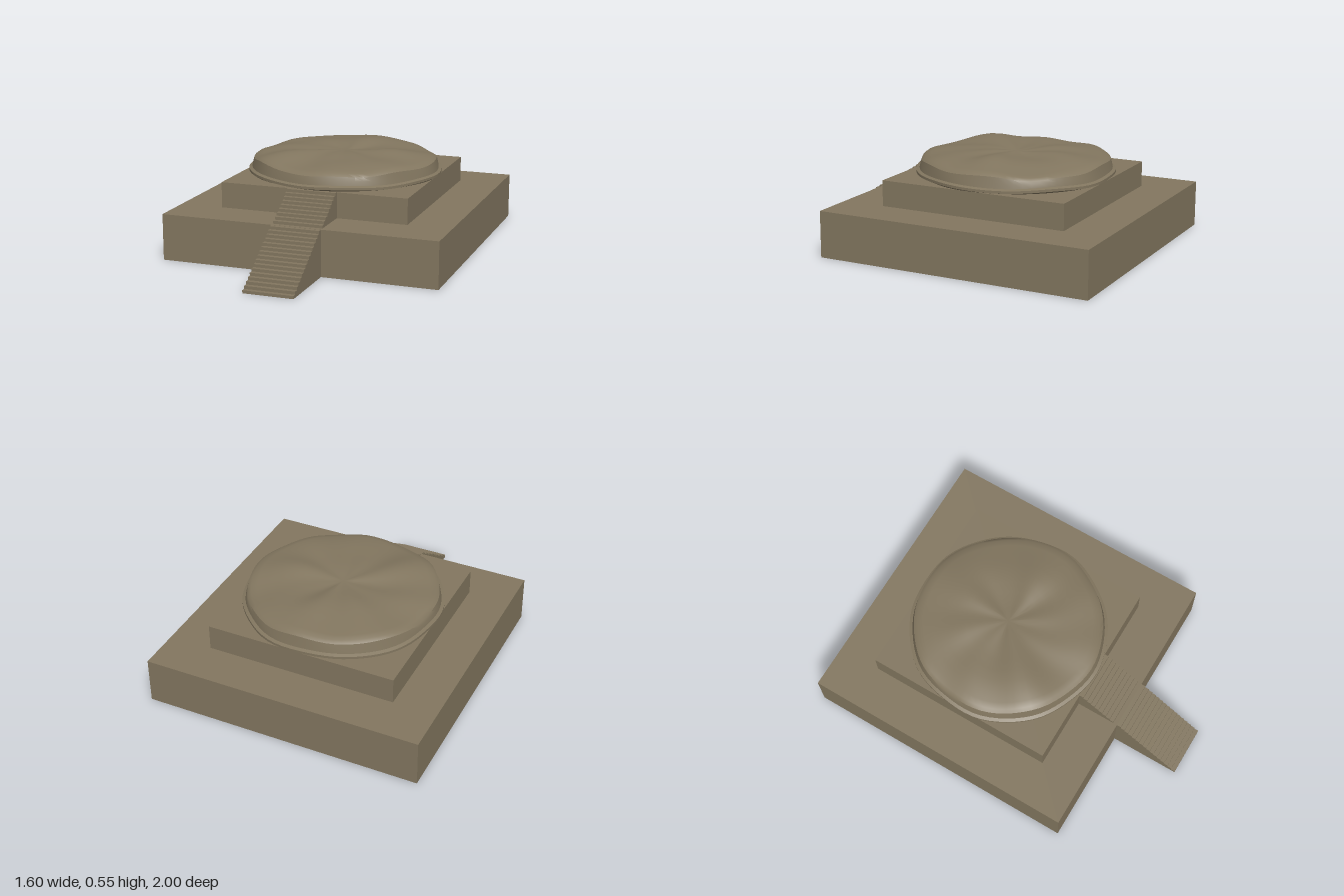
import * as THREE from 'three';
import { mergeVertices, toCreasedNormals } from 'three/addons/utils/BufferGeometryUtils.js';

const stone = new THREE.MeshStandardMaterial({ color: 0x82765f, side: THREE.DoubleSide });
stone.name = 'weathered stone';

const BASE_H = 0.265, TOP_H = 0.413, TREAD = 0.025, RISE = 0.0165, HALF_W = 0.143;

function mesh(name, geometry) {
  const m = new THREE.Mesh(geometry, stone);
  m.name = name;
  return m;
}

// Box without its underside, standing on y0
function openBlock(name, w, d, y0, y1, z) {
  const g = new THREE.BoxGeometry(w, y1 - y0, d);
  const keep = Array.from(g.index.array).filter((_, i) => i < 18 || i >= 24);
  g.setIndex(keep);
  g.clearGroups();
  g.translate(0, (y0 + y1) / 2, z);
  return mesh(name, g);
}

// Hollow flight: treads, risers and two side walls; the back and underside stay open
function flight(name, steps, zFront, y0, zBack) {
  const group = new THREE.Group();
  group.name = name;
  const profile = [[zFront, y0]], pos = [];
  for (let i = 0; i < steps; i++) {
    const z = zFront - i * TREAD, y = y0 + (i + 1) * RISE;
    profile.push([z, y], [z - TREAD, y]);
  }
  for (let i = 0; i + 1 < profile.length; i++) {
    const [za, ya] = profile[i], [zb, yb] = profile[i + 1];
    const a = [-HALF_W, ya, za], b = [HALF_W, ya, za], c = [HALF_W, yb, zb], d = [-HALF_W, yb, zb];
    pos.push(...a, ...b, ...c, ...a, ...c, ...d);
  }
  const g = new THREE.BufferGeometry();
  g.setAttribute('position', new THREE.Float32BufferAttribute(pos, 3));
  g.computeVertexNormals();
  group.add(mesh('steps', g));

  // Side walls are drawn with shape x = -z so that they face +x after turning
  const top = y0 + steps * RISE;
  const outline = [...profile, [zBack, top], [zBack, y0]].map(([z, y]) => new THREE.Vector2(-z, y));
  for (const side of [-1, 1]) {
    const wall = new THREE.ShapeGeometry(new THREE.Shape(outline));
    wall.rotateY(Math.PI / 2);
    if (side < 0) {
      wall.setIndex(Array.from(wall.index.array).reverse());
      wall.computeVertexNormals();
    }
    wall.translate(side * HALF_W, 0, 0);
    group.add(mesh(side < 0 ? 'rightSideWall' : 'leftSideWall', wall));
  }
  return group;
}

// Gentle ridges and hollows on the worn summit
function bumps(x, z) {
  const a = Math.atan2(z, x), r = Math.hypot(x, z);
  const radial = Math.sin(3 * a + 0.6) + 0.7 * Math.sin(5 * a + 2.1) + 0.5 * Math.sin(8 * a + 4 * r);
  return 0.007 * radial * Math.min(1, r * 4) + 0.006 * Math.sin(14 * x + 5 * z + 1) * Math.sin(12 * z - 4 * x);
}

function createMound() {
  const profile = [
    [0, 0.413], [0.55, 0.413], [0.565, 0.42], [0.565, 0.434], [0.547, 0.441],
    [0.542, 0.465], [0.535, 0.493], [0.515, 0.507], [0.48, 0.514], [0.42, 0.523], [0.36, 0.53],
    [0.3, 0.534], [0.24, 0.535], [0.18, 0.534], [0.12, 0.532], [0.06, 0.53], [0, 0.53],
  ].map(([r, y]) => new THREE.Vector2(r, y));
  let g = new THREE.LatheGeometry(profile, 72);
  const p = g.attributes.position;
  for (let i = 0; i < p.count; i++) {
    const x = p.getX(i), y = p.getY(i), z = p.getZ(i);
    const a = Math.atan2(z, x);
    const s = 1 + 0.006 * Math.sin(5 * a + 1) + 0.005 * Math.sin(9 * a);
    const lift = y > 0.48 ? bumps(x, z) : y > 0.418 ? 0.003 * Math.sin(6 * a) : 0;
    p.setXYZ(i, x * s, y + lift, z * s);
  }
  g.deleteAttribute('uv');
  g.deleteAttribute('normal');
  g = mergeVertices(g, 1e-4);
  g = toCreasedNormals(g, 0.6);
  g.translate(0, 0, -0.2);
  return mesh('wornMound', g);
}

export function createModel() {
  const model = new THREE.Group();
  model.name = 'steppedPlatform';
  model.add(
    openBlock('lowerTerrace', 1.6, 1.6, 0, BASE_H, -0.2),
    openBlock('upperTerrace', 1.1, 1.1, BASE_H, TOP_H - 0.001, -0.2),
    flight('lowerStair', 16, 1, 0, 0.39),
    flight('upperStair', 9, 0.575, BASE_H, 0.35),
    createMound(),
  );
  return model;
}
